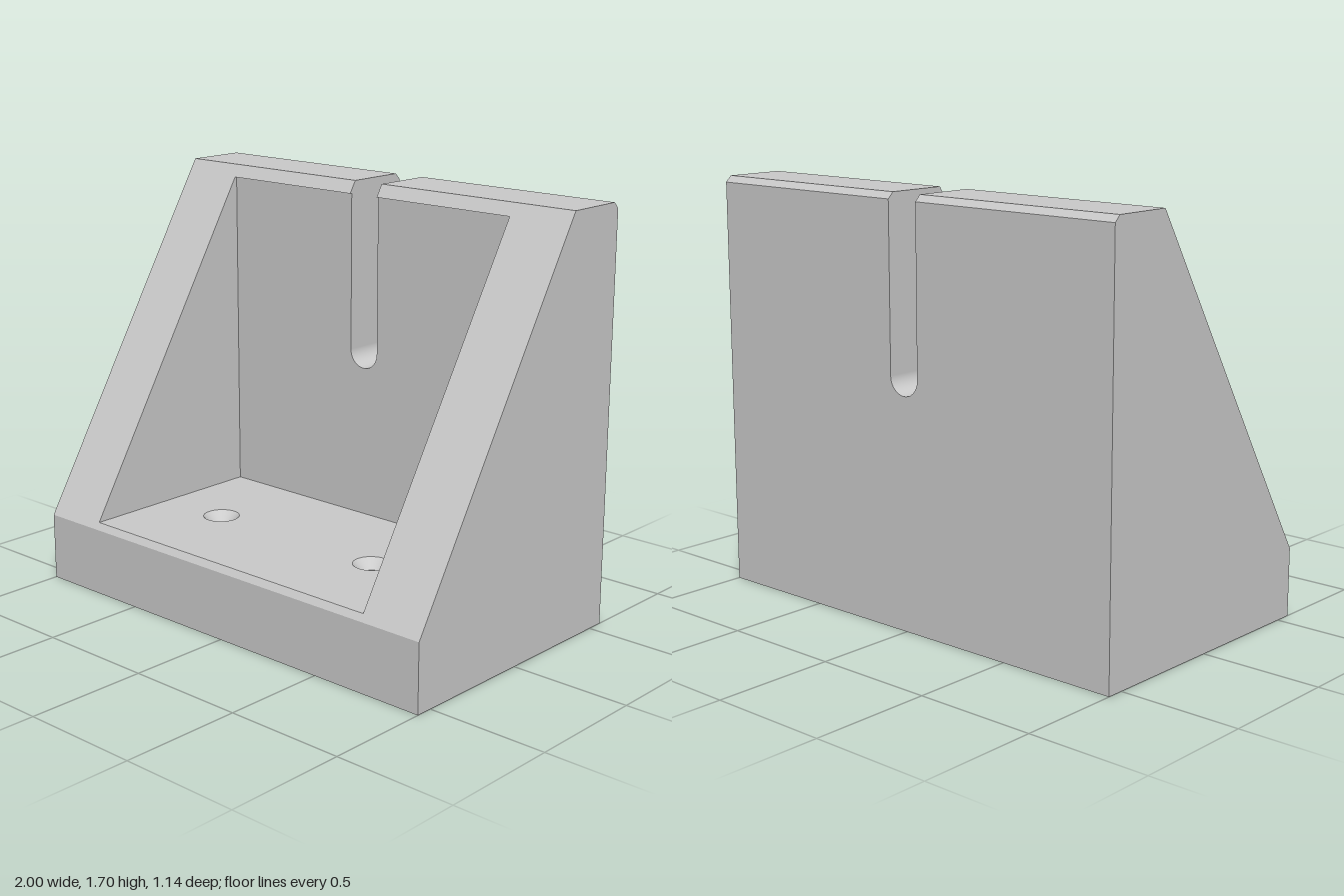
import * as THREE from 'three';

// Main dimensions: half width, half depth, height, front edge height, top chamfer
const W = 1, D = 0.57, H = 1.7, FRONT_H = 0.28, C = 0.025;
const TOP_Z = -0.293;                                   // where the slope meets the top
// Pocket: half width, floor, ceiling, back wall
const PW = 0.725, FLOOR = 0.307, CEIL = 1.65, WALL_Z = -0.272;
// Slot and screw holes
const SLOT_R = 0.07, SLOT_Y = 1.005;
const HOLE_X = 0.415, HOLE_Z = 0.15, BORE_R = 0.035, SINK_R = 0.075, SINK_DEPTH = 0.04;

const slopeZ = y => D + (TOP_Z - D) * (y - FRONT_H) / (H - FRONT_H);

export function createModel() {
  const group = new THREE.Group();
  group.name = 'angleBracket';
  const solid = new THREE.MeshStandardMaterial({ color: 0xcccccc });
  const open = new THREE.MeshStandardMaterial({ color: 0xcccccc, side: THREE.DoubleSide });

  const add = (name, geometry, material = solid) => {
    const mesh = new THREE.Mesh(geometry, material);
    mesh.name = name;
    group.add(mesh);
    return mesh;
  };
  // Lay a flat shape (u, v) into space with a mapping rule
  const face = (name, shape, place) => {
    const geometry = new THREE.ShapeGeometry(shape, 16);
    const p = geometry.attributes.position;
    for (let i = 0; i < p.count; i++) p.setXYZ(i, ...place(p.getX(i), p.getY(i)));
    geometry.computeVertexNormals();
    return add(name, geometry);
  };
  const poly = pts => new THREE.Shape(pts.map(([x, y]) => new THREE.Vector2(x, y)));
  const rect = (x0, y0, x1, y1) => poly([[x0, y0], [x1, y0], [x1, y1], [x0, y1]]);

  // Placement rules for each facing direction
  const up = y => (u, v) => [u, y, -v];
  const down = y => (u, v) => [u, y, v];
  const front = z => (u, v) => [u, v, z];
  const back = z => (u, v) => [-u, v, z];
  // Profile given as (z, y), facing +x or -x
  const sideFace = (name, profile, x, dir) =>
    face(name, poly(profile.map(([z, y]) => [-dir * z, y])), (u, v) => [x, v, -dir * u]);

  // Panel with the U-shaped slot open at its top edge
  const slotted = (halfW, y0, y1) => {
    const s = new THREE.Shape();
    s.moveTo(-halfW, y0);
    s.lineTo(halfW, y0);
    s.lineTo(halfW, y1);
    s.lineTo(SLOT_R, y1);
    s.lineTo(SLOT_R, SLOT_Y);
    s.absarc(0, SLOT_Y, SLOT_R, 0, Math.PI, true);
    s.lineTo(-SLOT_R, y1);
    s.lineTo(-halfW, y1);
    return s;
  };
  // Plate with the two screw holes
  const drilled = (shape, v, r) => {
    for (const x of [-HOLE_X, HOLE_X]) {
      const hole = new THREE.Path();
      hole.absarc(x, v, r, 0, Math.PI * 2, true);
      shape.holes.push(hole);
    }
    return shape;
  };

  // Outer base, front edge and back
  face('base', drilled(rect(-W, -D, W, D), HOLE_Z, BORE_R), down(0));
  face('frontEdge', rect(-W, 0, W, FRONT_H), front(D));
  face('backFace', slotted(W, 0, H - C), back(-D));

  // Sloping rim around the pocket, broken by the slot at the top
  face('slopedRim', poly([
    [-W, FRONT_H], [W, FRONT_H], [W, H], [SLOT_R, H], [SLOT_R, CEIL], [PW, CEIL],
    [PW, FLOOR], [-PW, FLOOR], [-PW, CEIL], [-SLOT_R, CEIL], [-SLOT_R, H], [-W, H],
  ]), (u, v) => [u, v, slopeZ(v)]);

  // Pocket interior
  face('pocketFloor', drilled(rect(-PW, -slopeZ(FLOOR), PW, -WALL_Z), -HOLE_Z, SINK_R), up(FLOOR));
  face('pocketBack', slotted(PW, FLOOR, CEIL), front(WALL_Z));

  const outer = [[D, 0], [-D, 0], [-D, H - C], [-D + C, H], [TOP_Z, H], [D, FRONT_H]];
  const inner = [[WALL_Z, FLOOR], [slopeZ(FLOOR), FLOOR], [slopeZ(CEIL), CEIL], [WALL_Z, CEIL]];
  const slotSide = [[-D, SLOT_Y], [-D, H - C], [-D + C, H], [TOP_Z, H],
    [slopeZ(CEIL), CEIL], [WALL_Z, CEIL], [WALL_Z, SLOT_Y]];

  // Mirrored parts
  for (const [side, s] of [['left', 1], ['right', -1]]) {
    const span = (a, b) => [Math.min(s * a, s * b), Math.max(s * a, s * b)];
    sideFace(side + 'OuterSide', outer, s * W, s);
    sideFace(side + 'PocketSide', inner, s * PW, -s);
    sideFace(side + 'SlotSide', slotSide, s * SLOT_R, -s);

    const [a, b] = span(SLOT_R, W);
    face(side + 'Top', rect(a, -TOP_Z, b, D - C), up(H));
    face(side + 'TopChamfer', rect(a, 0, b, C), (u, v) => [-u, H - C + v, -D + v])
      .geometry.computeBoundingSphere();
    const [c, d] = span(SLOT_R, PW);
    face(side + 'PocketCeiling', rect(c, WALL_Z, d, slopeZ(CEIL)), down(CEIL));

    // Countersunk screw hole
    const bore = FLOOR - SINK_DEPTH;
    add(side + 'ScrewBore', new THREE.CylinderGeometry(BORE_R, BORE_R, bore, 32, 1, true), open)
      .position.set(s * HOLE_X, bore / 2, HOLE_Z);
    add(side + 'Countersink', new THREE.CylinderGeometry(SINK_R, BORE_R, SINK_DEPTH, 32, 1, true), open)
      .position.set(s * HOLE_X, FLOOR - SINK_DEPTH / 2, HOLE_Z);
  }

  // Rounded bottom of the slot
  const length = WALL_Z + D;
  add('slotBottom', new THREE.CylinderGeometry(SLOT_R, SLOT_R, length, 32, 1, true, -Math.PI / 2, Math.PI)
    .rotateX(Math.PI / 2), open).position.set(0, SLOT_Y, (WALL_Z - D) / 2);

  return group;
}
